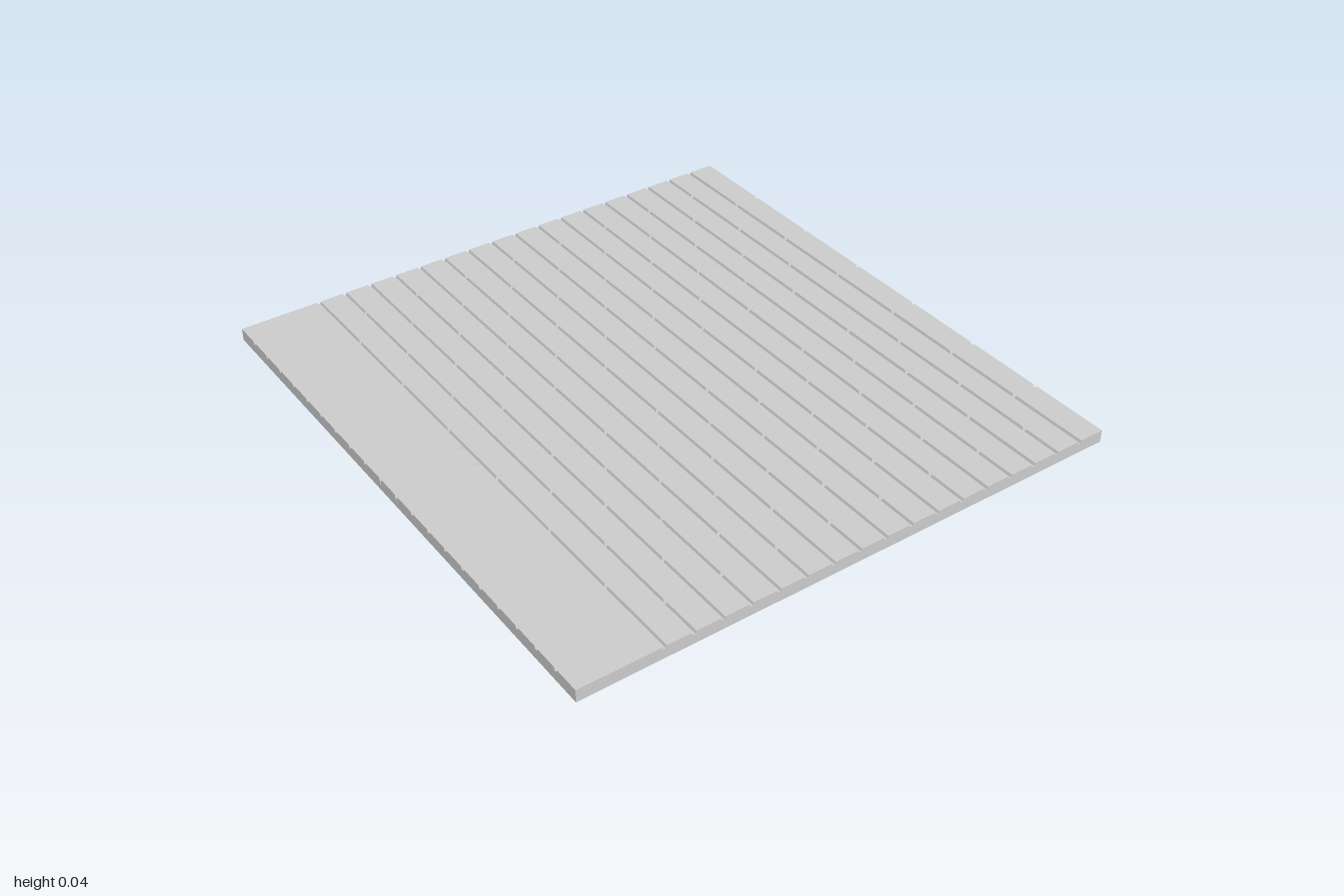
import * as THREE from 'three';

const HALF_X = 1, HALF_Z = 0.95, TOP = 0.043, JOINT = 0.034;
const BORDER_Z = 0.672;             // where the soldier course begins
const ROWS = 17, LONG = 2 / 7, SOLDIERS = 21;
const material = new THREE.MeshStandardMaterial({ color: 0xcccccc, flatShading: true });

// Brick filling a cell, with bevelled sides towards its joints and flush outer sides.
function brick(name, x0, x1, z0, z1) {
  const geometry = new THREE.BoxGeometry(1, 1, 1);
  const p = geometry.attributes.position;
  const inset = (v, limit, top) => (Math.abs(Math.abs(v) - limit) < 1e-4 ? 0 : top ? 0.0075 : 0.004);
  for (let i = 0; i < p.count; i++) {
    const top = p.getY(i) > 0;
    const x = p.getX(i) < 0 ? x0 + inset(x0, HALF_X, top) : x1 - inset(x1, HALF_X, top);
    const z = p.getZ(i) < 0 ? z0 + inset(z0, HALF_Z, top) : z1 - inset(z1, HALF_Z, top);
    p.setXYZ(i, x, top ? TOP : JOINT, z);
  }
  geometry.computeVertexNormals();
  const mesh = new THREE.Mesh(geometry, material);
  mesh.name = name;
  return mesh;
}

// Bed of mortar extruded along z, with optional deep slots in its top.
function bed(name, z0, z1, slots) {
  const shape = new THREE.Shape();
  shape.moveTo(-HALF_X, 0);
  shape.lineTo(HALF_X, 0);
  shape.lineTo(HALF_X, JOINT);
  for (const x of slots) {
    shape.lineTo(x + 0.004, JOINT);
    shape.lineTo(x, 0.018);
    shape.lineTo(x - 0.004, JOINT);
  }
  shape.lineTo(-HALF_X, JOINT);
  const geometry = new THREE.ExtrudeGeometry(shape, { depth: z1 - z0, bevelEnabled: false });
  const mesh = new THREE.Mesh(geometry, material);
  mesh.position.z = z0;
  mesh.name = name;
  return mesh;
}

export function createModel() {
  const model = new THREE.Group();
  model.name = 'brickPaving';

  const soldierWidth = 2 * HALF_X / SOLDIERS;
  model.add(bed('fieldBed', -HALF_Z, BORDER_Z, []));
  model.add(bed('borderBed', BORDER_Z, HALF_Z, [soldierWidth / 2, -soldierWidth / 2]));

  // Running bond courses; the shifted rows have a closed joint in the middle
  const field = new THREE.Group();
  field.name = 'runningBond';
  const pitch = (BORDER_Z + HALF_Z) / ROWS;
  for (let row = 0; row < ROWS; row++) {
    const joints = [-HALF_X];
    const shift = row % 2 ? 0.5 : 1;
    for (let k = 0; k < 7; k++) {
      const x = -HALF_X + (k + shift) * LONG;
      if (Math.abs(x) > 0.01 && x < HALF_X - 0.01) joints.push(x);
    }
    joints.push(HALF_X);
    const z0 = -HALF_Z + row * pitch;
    for (let i = 0; i + 1 < joints.length; i++) {
      field.add(brick('brick', joints[i], joints[i + 1], z0, z0 + pitch));
    }
  }
  model.add(field);

  // Soldier course along the front edge
  const border = new THREE.Group();
  border.name = 'soldierCourse';
  for (let i = 0; i < SOLDIERS; i++) {
    const x0 = -HALF_X + i * soldierWidth;
    border.add(brick('soldierBrick', x0, x0 + soldierWidth, BORDER_Z, HALF_Z));
  }
  model.add(border);
  return model;
}
